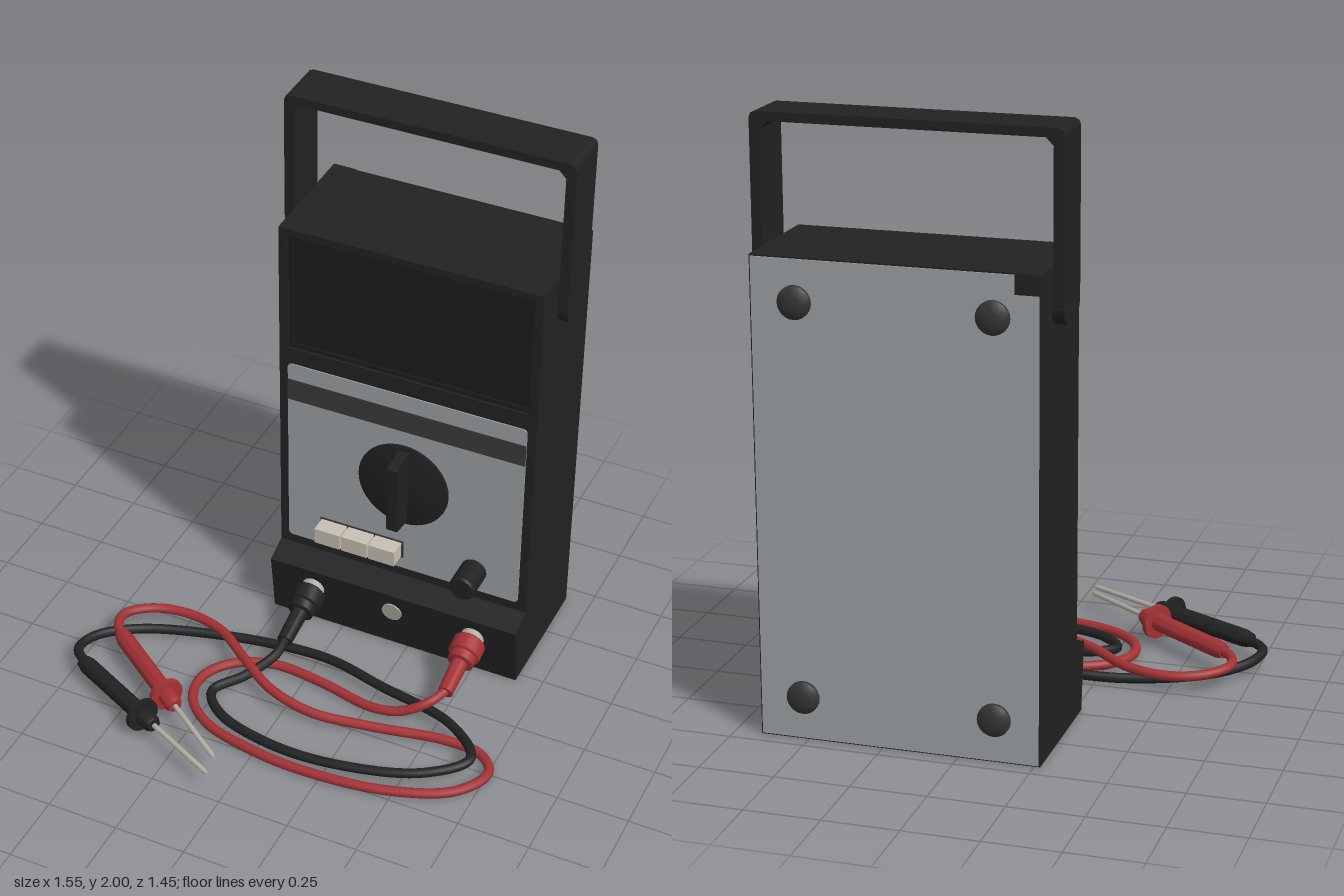
import * as THREE from 'three';
import { toCreasedNormals } from 'three/addons/utils/BufferGeometryUtils.js';

const mat = (name, color) => {
  const m = new THREE.MeshStandardMaterial({ color });
  m.name = name;
  return m;
};
const V = (x, y, z) => new THREE.Vector3(x, y, z);

export function createModel() {
  const model = new THREE.Group();
  model.name = 'multimeter';
  const black = mat('case black', 0x222222);
  const glass = mat('dark display', 0x1d1d1d);
  const grey = mat('panel grey', 0x9ea3a7);
  const stripe = mat('stripe grey', 0x3c3c3b);
  const cream = mat('button cream', 0xc6bfb2);
  const metal = mat('metal', 0xb0aba2);
  const red = mat('lead red', 0xa23135);
  const foot = mat('foot grey', 0x343536);
  const lead = mat('lead black', 0x202122);

  const add = (name, geo, material, parent = model) => {
    const m = new THREE.Mesh(geo, material);
    m.name = name;
    parent.add(m);
    return m;
  };
  // box given by its minimum and maximum corners
  const box = (name, material, x0, x1, y0, y1, z0, z1) => {
    const g = new THREE.BoxGeometry(x1 - x0, y1 - y0, z1 - z0);
    g.translate((x0 + x1) / 2, (y0 + y1) / 2, (z0 + z1) / 2);
    return add(name, g, material);
  };
  const poly = (pts) => new THREE.Shape(pts.map(([x, y]) => new THREE.Vector2(x, y)));
  const rect = (x0, x1, y0, y1) => poly([[x0, y0], [x1, y0], [x1, y1], [x0, y1]]);
  const rounded = (x0, x1, y0, y1, r) => {
    const s = new THREE.Shape();
    s.absarc(x1 - r, y1 - r, r, 0, Math.PI / 2);
    s.absarc(x0 + r, y1 - r, r, Math.PI / 2, Math.PI);
    s.absarc(x0 + r, y0 + r, r, Math.PI, Math.PI * 1.5);
    s.absarc(x1 - r, y0 + r, r, Math.PI * 1.5, Math.PI * 2);
    return s;
  };
  // extrude a front outline from z0 to z1
  const slab = (name, shape, material, z0, z1) => {
    const g = new THREE.ExtrudeGeometry(shape, { depth: z1 - z0, bevelEnabled: false, curveSegments: 6 });
    return add(name, g.translate(0, 0, z0), material);
  };
  // extrude a side outline (z, y) from x0 to x1
  const sideSlab = (name, shape, material, x0, x1) => {
    const g = new THREE.ExtrudeGeometry(shape, { depth: x1 - x0, bevelEnabled: false, curveSegments: 6 });
    return add(name, g.rotateY(-Math.PI / 2).translate(x1, 0, 0), material);
  };
  // turned part: profile of [radius, distance], starting at a point along a direction
  const turned = (name, profile, material, origin, dir, parent = model, sides = 24) => {
    const lathe = new THREE.LatheGeometry(profile.map(([r, d]) => new THREE.Vector2(r, d)), sides);
    const m = add(name, toCreasedNormals(lathe, 0.7), material, parent);
    m.position.copy(origin);
    m.quaternion.setFromUnitVectors(V(0, 1, 0), dir.clone().normalize());
    return m;
  };

  // case with a projecting, sloped socket ledge
  sideSlab('case', poly([[-0.695, 0], [-0.217, 0], [-0.19, 0.232], [-0.275, 0.265],
    [-0.295, 0.265], [-0.295, 1.58], [-0.695, 1.58]]), black, -0.27, 0.66);
  const front = rect(-0.27, 0.66, 0.26, 1.58);
  front.holes.push(rect(-0.238, 0.63, 1.106, 1.553));
  slab('frontFrame', front, black, -0.295, -0.275);

  // recessed display and its inner frame
  const inner = rect(-0.238, 0.63, 1.106, 1.553);
  inner.holes.push(rect(-0.222, 0.614, 1.122, 1.537));
  slab('displayFrame', inner, glass, -0.295, -0.284);
  box('display', glass, -0.222, 0.614, 1.122, 1.537, -0.295, -0.291);

  // back plate, corner notch and feet
  box('backPlate', grey, -0.265, 0.655, 0.005, 1.575, -0.7, -0.695);
  box('backNotch', black, -0.27, -0.19, 1.515, 1.578, -0.702, -0.694);
  for (const x of [-0.122, 0.512]) for (const y of [0.145, 1.44]) {
    turned('foot', [[0.054, 0], [0.054, 0.012], [0.04, 0.026], [0.02, 0.03], [0, 0.031]],
      foot, V(x, y, -0.699), V(0, 0, -1));
  }

  // control panel and stripe
  slab('controlPanel', rounded(-0.238, 0.63, 0.302, 1.044, 0.015), grey, -0.276, -0.271);
  box('panelStripe', stripe, -0.238, 0.63, 0.896, 0.98, -0.272, -0.269);

  // rotary selector
  const forward = V(0, 0, 1);
  turned('selectorDisc', [[0.166, 0], [0.166, 0.008], [0.155, 0.012], [0, 0.012]],
    lead, V(0.197, 0.672, -0.273), forward, model, 40);
  sideSlab('selectorGrip', poly([[-0.265, 0.522], [-0.18, 0.535], [-0.172, 0.545],
    [-0.172, 0.8], [-0.18, 0.808], [-0.265, 0.82]]), lead, 0.178, 0.216);

  // push buttons and round control
  box('buttonBezel', stripe, -0.114, 0.202, 0.35, 0.42, -0.274, -0.267);
  for (let i = 0; i < 3; i++) {
    const x = -0.108 + i * 0.103;
    box('pushButton', cream, x, x + 0.097, 0.355, 0.415, -0.273, -0.206);
  }
  turned('roundControl', [[0.047, 0], [0.047, 0.108], [0.041, 0.115], [0, 0.115]],
    lead, V(0.465, 0.387, -0.274), forward);

  // carrying handle: bridge, then rounded ends
  const bridge = rounded(-0.308, 0.695, 1.2, 2, 0.02);
  const arch = poly([[-0.308, 1.45], [-0.274, 1.45], [-0.274, 1.945], [-0.25, 1.97],
    [0.637, 1.97], [0.661, 1.945], [0.661, 1.45], [0.695, 1.45], [0.695, 1.98],
    [0.689, 1.994], [0.675, 2], [-0.288, 2], [-0.302, 1.994], [-0.308, 1.98]]);
  slab('handle', arch, black, -0.58, -0.4);
  const end = new THREE.Shape();
  end.moveTo(-0.58, 1.45);
  end.absarc(-0.52, 1.447, 0.06, Math.PI, Math.PI * 1.5);
  end.absarc(-0.46, 1.447, 0.06, Math.PI * 1.5, Math.PI * 2);
  end.lineTo(-0.4, 1.45);
  sideSlab('handleEnd', end, black, -0.308, -0.268);
  sideSlab('handleEnd', end, black, 0.658, 0.695);

  // spare socket in the ledge
  const ledge = V(0, -0.027, 0.232);
  turned('spareSocket', [[0.037, 0], [0.037, 0.006], [0, 0.006]], metal, V(0.195, 0.155, -0.2), ledge);

  // test leads: plug, cable and probe
  const plugDir = V(0, -0.065, 0.24);
  const testLead = (name, material, plugX, path, rear, tip) => {
    const g = new THREE.Group();
    g.name = name;
    model.add(g);
    const start = V(plugX, 0.155, -0.205);
    turned('socketRing', [[0.042, 0], [0.042, 0.04], [0, 0.04]], metal, start, plugDir, g);
    turned('plug', [[0, 0.025], [0.05, 0.025], [0.057, 0.032], [0.057, 0.085], [0.048, 0.09], [0.046, 0.118],
      [0.03, 0.122], [0.027, 0.248], [0, 0.248]], material, start, plugDir, g);
    const dir = tip.clone().sub(rear);
    const length = dir.length();
    dir.normalize();
    const pts = [V(plugX, 0.093, 0.025), ...path.map(([x, y, z]) => V(x, y, z)),
      rear.clone().addScaledVector(dir, 0.02)];
    add('cable', new THREE.TubeGeometry(new THREE.CatmullRomCurve3(pts, false, 'centripetal'),
      180, 0.017, 10), material, g);
    turned('probeHandle', [[0, 0], [0.024, 0], [0.031, 0.03], [0.031, 0.34], [0.06, 0.342], [0.06, 0.358],
      [0.031, 0.36], [0.031, 0.405], [0.024, 0.42], [0, 0.42]], material, rear, dir, g);
    turned('probeTip', [[0.009, 0.41], [0.009, length - 0.02], [0, length]], metal, rear, dir, g, 12);
  };

  testLead('blackLead', lead, -0.108, [
    [-0.112, 0.075, 0.1], [-0.18, 0.035, 0.2], [-0.255, 0.02, 0.3], [-0.18, 0.02, 0.39],
    [0.03, 0.02, 0.45], [0.27, 0.025, 0.45], [0.565, 0.04, 0.375], [0.69, 0.055, 0.26],
    [0.565, 0.055, 0.135], [0.27, 0.05, 0.06], [0.07, 0.045, 0.01], [-0.1, 0.035, 0.003],
    [-0.35, 0.022, 0.035], [-0.62, 0.03, 0.135], [-0.74, 0.045, 0.25], [-0.755, 0.055, 0.345],
  ], V(-0.705, 0.06, 0.4), V(-0.055, 0.076, 0.718));

  testLead('redLead', red, 0.5, [
    [0.465, 0.08, 0.095], [0.38, 0.04, 0.135], [0.275, 0.022, 0.142], [0.065, 0.018, 0.1],
    [-0.12, 0.018, 0.088], [-0.255, 0.018, 0.145], [-0.32, 0.018, 0.25], [-0.3, 0.018, 0.36],
    [-0.2, 0.018, 0.45], [-0.015, 0.018, 0.5], [0.19, 0.018, 0.515], [0.48, 0.018, 0.48],
    [0.69, 0.018, 0.385], [0.757, 0.018, 0.26], [0.7, 0.018, 0.19], [0.565, 0.02, 0.18],
    [0.315, 0.025, 0.232], [0.11, 0.04, 0.272], [-0.06, 0.06, 0.245], [-0.205, 0.07, 0.155],
    [-0.35, 0.06, 0.05], [-0.495, 0.055, 0.017], [-0.62, 0.06, 0.05], [-0.69, 0.07, 0.13],
    [-0.675, 0.075, 0.2],
  ], V(-0.645, 0.075, 0.235), V(-0.068, 0.08, 0.646));

  return model;
}
